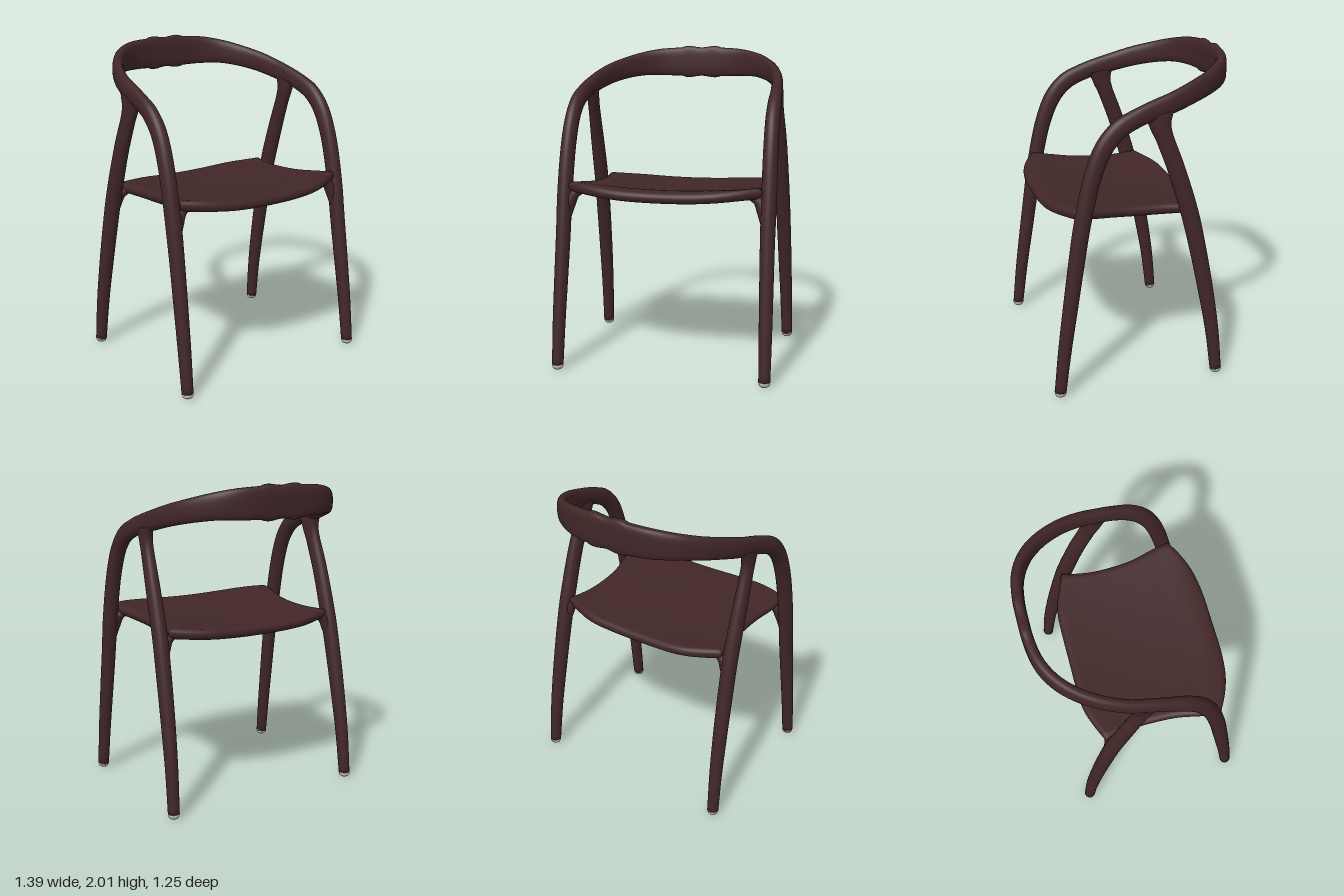
import * as THREE from 'three';
import { mergeVertices } from 'three/addons/utils/BufferGeometryUtils.js';

const V = (x, y, z) => new THREE.Vector3(x, y, z);

function buildGeometry(positions, indices) {
  const g = new THREE.BufferGeometry();
  g.setAttribute('position', new THREE.Float32BufferAttribute(positions, 3));
  g.setIndex(indices);
  return g;
}

// Sweep a rounded section along stations [x, y, z, half height, half width]
function sweep(stations, steps, sides = 28) {
  const path = new THREE.CatmullRomCurve3(stations.map(s => V(s[0], s[1], s[2])));
  const size = new THREE.CatmullRomCurve3(stations.map(s => V(s[3], s[4], 0)));
  const pos = [], idx = [];
  for (let i = 0; i <= steps; i++) {
    const t = i / steps, c = path.getPoint(t), r = size.getPoint(t), T = path.getTangent(t);
    const S = V(0, 1, 0).cross(T).normalize(), U = T.clone().cross(S);
    // flat sections become squarer
    const e = THREE.MathUtils.clamp(1 - 0.2 * (r.x / r.y - 1), 0.6, 1);
    const soft = v => Math.sign(v) * Math.pow(Math.abs(v), e);
    for (let j = 0; j < sides; j++) {
      const a = j / sides * Math.PI * 2;
      const p = c.clone().addScaledVector(S, r.y * soft(Math.cos(a))).addScaledVector(U, r.x * soft(Math.sin(a)));
      pos.push(p.x, p.y, p.z);
      if (i < steps) {
        const k = i * sides, n = (j + 1) % sides;
        idx.push(k + j, k + n, k + sides + j, k + n, k + sides + n, k + sides + j);
      }
    }
  }
  // end caps
  for (const [t, k] of [[0, 0], [1, steps * sides]]) {
    const c = path.getPoint(t), m = pos.length / 3;
    pos.push(c.x, c.y, c.z);
    for (let j = 0; j < sides; j++) {
      const n = (j + 1) % sides;
      if (t) idx.push(m, k + j, k + n); else idx.push(m, k + n, k + j);
    }
  }
  const g = buildGeometry(pos, idx);
  g.computeVertexNormals();
  return g;
}

// Smooth one-value function through [key, value] pairs
function ramp(pairs) {
  return x => {
    let i = 0;
    while (i < pairs.length - 2 && x > pairs[i + 1][0]) i++;
    const at = k => pairs[Math.max(0, Math.min(pairs.length - 1, k))];
    const slope = k => (at(k + 1)[1] - at(k - 1)[1]) / (at(k + 1)[0] - at(k - 1)[0]);
    const [x0, y0] = pairs[i], [x1, y1] = pairs[i + 1], h = x1 - x0;
    const t = THREE.MathUtils.clamp((x - x0) / h, 0, 1), t2 = t * t, t3 = t2 * t;
    return y0 * (2 * t3 - 3 * t2 + 1) + h * slope(i) * (t3 - 2 * t2 + t)
      + y1 * (3 * t2 - 2 * t3) + h * slope(i + 1) * (t3 - t2);
  };
}

// Dished seat: two sheets that meet in a rounded rim
function seatGeometry() {
  const halfWidth = ramp([[-0.28, 0.59], [-0.2, 0.572], [-0.08, 0.554], [0.06, 0.552], [0.2, 0.562], [0.36, 0.598], [0.47, 0.612]]);
  const front = ramp([[0, 0.595], [0.35, 0.592], [0.6, 0.572], [0.8, 0.53], [1, 0.465]]);
  const back = ramp([[0, -0.372], [0.48, -0.37], [0.65, -0.355], [0.82, -0.32], [1, -0.275]]);
  const height = ramp([[-0.37, 1.083], [-0.15, 1.078], [0.1, 1.085], [0.35, 1.105], [0.5, 1.122], [0.6, 1.118]]);
  const n = 44, pos = [], idx = [];
  for (const side of [1, -1]) {
    const base = pos.length / 3;
    for (let i = 0; i <= n; i++) for (let j = 0; j <= n; j++) {
      const u = Math.sin((i / n - 0.5) * Math.PI), v = Math.sin((j / n - 0.5) * Math.PI);
      const a = Math.abs(u), z = THREE.MathUtils.lerp(back(a), front(a), (v + 1) / 2);
      const x = u * halfWidth(THREE.MathUtils.lerp(-0.275, 0.465, (v + 1) / 2));
      const d = Math.min((1 - a) * 0.57, (1 - Math.abs(v)) * 0.46);
      const h = 0.034 * Math.sqrt(Math.max(0, 1 - (1 - Math.min(d / 0.035, 1)) ** 2));
      pos.push(x, height(z) + 0.034 * (x / 0.58) ** 2 + side * h, z);
      if (i < n && j < n) {
        const p = base + i * (n + 1) + j, q = p + n + 1;
        if (side > 0) idx.push(p, p + 1, q, p + 1, q + 1, q);
        else idx.push(p, q, p + 1, p + 1, q, q + 1);
      }
    }
  }
  const g = mergeVertices(buildGeometry(pos, idx), 1e-5);
  g.computeVertexNormals();
  return g;
}

export function createModel() {
  const model = new THREE.Group();
  model.name = 'armchair';
  const wood = new THREE.MeshStandardMaterial({ color: 0x412627 });
  wood.name = 'dark stained wood';
  const glide = new THREE.MeshStandardMaterial({ color: 0xbdbbb8 });
  glide.name = 'pale grey glide';
  const add = (name, geometry, material = wood) => {
    const m = new THREE.Mesh(geometry, material);
    m.name = name;
    model.add(m);
    return m;
  };

  // Front legs, arms and backrest are one continuous rail
  const half = [
    [0.66, 0.028, 0.59, 0.036, 0.036],
    [0.657, 0.3, 0.557, 0.041, 0.04],
    [0.652, 0.6, 0.513, 0.046, 0.043],
    [0.648, 0.85, 0.475, 0.049, 0.045],
    [0.647, 1.1, 0.435, 0.051, 0.047],
    [0.643, 1.4, 0.365, 0.053, 0.046],
    [0.639, 1.57, 0.29, 0.056, 0.044],
    [0.636, 1.665, 0.2, 0.057, 0.042],
    [0.63, 1.715, 0.1, 0.056, 0.038],
    [0.62, 1.75, 0, 0.058, 0.036],
    [0.603, 1.786, -0.13, 0.062, 0.035],
    [0.562, 1.825, -0.26, 0.066, 0.034],
    [0.495, 1.858, -0.385, 0.071, 0.034],
    [0.4, 1.885, -0.49, 0.08, 0.034],
    [0.28, 1.898, -0.558, 0.092, 0.034],
    [0.14, 1.901, -0.586, 0.098, 0.034],
  ];
  const other = half.map(([x, ...rest]) => [-x, ...rest]).reverse();
  add('frontLegsArmsAndBackrest', sweep([...half, [0, 1.902, -0.59, 0.098, 0.034], ...other], 192));

  add('seat', seatGeometry());

  for (const s of [1, -1]) {
    const side = s > 0 ? 'left' : 'right';
    const mirror = list => list.map(([x, ...rest]) => [x * s, ...rest]);

    // Rear leg, flaring into the arm
    add(side + 'RearLeg', sweep(mirror([
      [0.657, 0.028, -0.433, 0.036, 0.036],
      [0.651, 0.3, -0.402, 0.042, 0.04],
      [0.644, 0.6, -0.35, 0.048, 0.044],
      [0.637, 0.9, -0.288, 0.052, 0.046],
      [0.632, 1.1, -0.24, 0.054, 0.046],
      [0.627, 1.4, -0.145, 0.053, 0.042],
      [0.62, 1.58, -0.077, 0.053, 0.037],
      [0.617, 1.66, -0.05, 0.064, 0.035],
      [0.616, 1.73, -0.04, 0.085, 0.033],
    ]), 64));

    // Curved blends from legs into the seat corners
    for (const [name, z, y, lean] of [['RearSeatBlend', -0.245, 1.1, -0.03], ['FrontSeatBlend', 0.425, 1.13, 0.03]]) {
      add(side + name, sweep(mirror([
        [0.63, y - 0.17, z + lean, 0.03, 0.02],
        [0.608, y - 0.08, z + lean * 0.5, 0.036, 0.032],
        [0.585, y - 0.025, z, 0.034, 0.038],
        [0.52, y + 0.002, z - lean * 0.5, 0.02, 0.03],
      ]), 14, 16));
    }

    // Rounded glides under the feet
    const profile = [[0, 0], [0.018, 0.001], [0.029, 0.008], [0.035, 0.02], [0.037, 0.034], [0, 0.036]];
    for (const [name, x, z] of [['FrontGlide', 0.66, 0.59], ['RearGlide', 0.657, -0.433]]) {
      const g = add(side + name, new THREE.LatheGeometry(profile.map(p => new THREE.Vector2(...p)), 24), glide);
      g.position.set(x * s, 0, z);
    }
  }
  return model;
}
